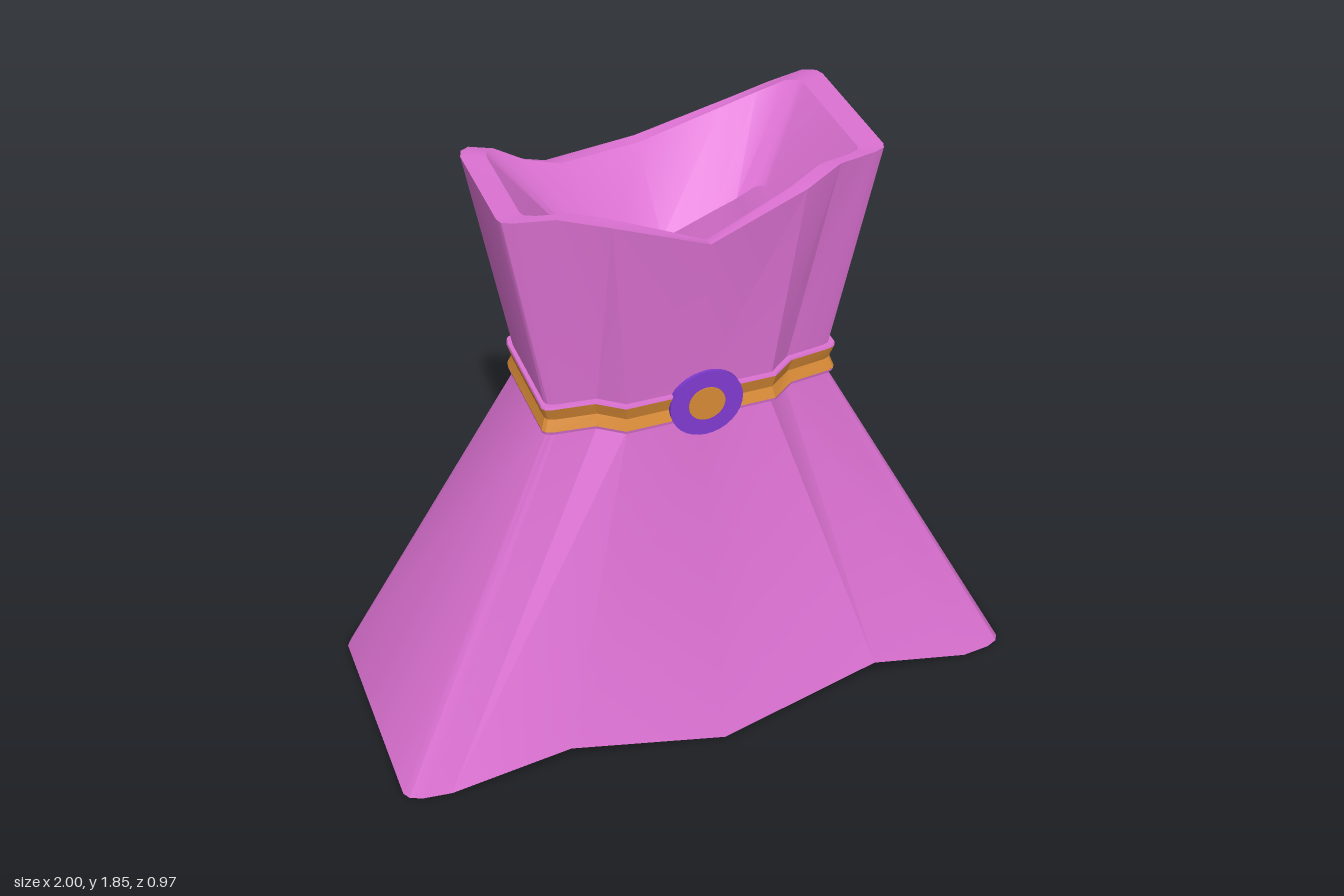
import * as THREE from 'three';
import { toCreasedNormals } from 'three/addons/utils/BufferGeometryUtils.js';

const material = (color) => new THREE.MeshStandardMaterial({ color });
const pink = material(0xdd72d3);
const gold = material(0xd88a36);
const purple = material(0x7f3ad0);

// Skin a list of equal-length closed rings, optionally closing both ends
// with strips that join each front point to the back point opposite
function loft(rings, capped) {
  const pos = [];
  const quad = (a, b, c, d) => [a, b, c, a, c, d].forEach((p) => pos.push(...p));
  const n = rings[0].length;
  for (let i = 0; i < rings.length - 1; i++) {
    for (let j = 0; j < n; j++) {
      const k = (j + 1) % n;
      quad(rings[i][j], rings[i][k], rings[i + 1][k], rings[i + 1][j]);
    }
  }
  if (capped) {
    const first = rings[0], last = rings[rings.length - 1];
    for (let j = 0; j < n / 2 - 1; j++) {
      quad(last[j], last[j + 1], last[n - 2 - j], last[n - 1 - j]);
      quad(first[j + 1], first[j], first[n - 1 - j], first[n - 2 - j]);
    }
  }
  const geo = new THREE.BufferGeometry();
  geo.setAttribute('position', new THREE.Float32BufferAttribute(pos, 3));
  return toCreasedNormals(geo, 0.5);
}

// Cross-sections run along the front from -x to +x, then back behind
const hem = [
  [-1, 0, 0.36], [-0.987, 0, 0.383], [-0.95, 0, 0.4], [-0.86, 0, 0.41], [-0.5, 0.13, 0.48], [0, 0, 0.48],
  [0.5, 0.15, 0.48], [0.86, 0, 0.41], [0.95, 0, 0.4], [0.987, 0, 0.383], [1, 0, 0.36],
  [1, 0, -0.35], [0.987, 0, -0.373], [0.95, 0, -0.388], [0.87, 0, -0.41], [0.5, 0.13, -0.49], [0, 0, -0.49],
  [-0.5, 0.13, -0.31], [-0.86, 0, -0.38], [-0.95, 0, -0.37], [-0.985, 0, -0.355], [-1, 0, -0.33],
];
const waist = [
  [-0.435, 0.14], [-0.428, 0.152], [-0.41, 0.16], [-0.29, 0.175], [-0.22, 0.23], [0, 0.23],
  [0.22, 0.23], [0.29, 0.175], [0.41, 0.16], [0.428, 0.152], [0.435, 0.14],
  [0.435, -0.24], [0.428, -0.258], [0.41, -0.275], [0.34, -0.3], [0.23, -0.3], [0, -0.29],
  [-0.23, -0.19], [-0.34, -0.2], [-0.41, -0.19], [-0.428, -0.175], [-0.435, -0.15],
];
const rim = [
  [-0.56, 1.85, 0.18], [-0.553, 1.85, 0.2], [-0.52, 1.85, 0.215], [-0.41, 1.845, 0.23], [-0.28, 1.835, 0.305],
  [0, 1.72, 0.305],
  [0.28, 1.835, 0.305], [0.41, 1.845, 0.23], [0.52, 1.85, 0.215], [0.553, 1.85, 0.2], [0.56, 1.85, 0.18],
  [0.56, 1.85, -0.24], [0.553, 1.848, -0.27], [0.52, 1.84, -0.3], [0.43, 1.8, -0.335], [0.3, 1.78, -0.32],
  [0, 1.72, -0.31],
  [-0.3, 1.75, -0.22], [-0.42, 1.79, -0.21], [-0.52, 1.84, -0.22], [-0.55, 1.85, -0.19], [-0.56, 1.85, -0.16],
];

const reshape = (ring, sx, dy, sz) => ring.map(([x, y, z]) => [x * sx, y + dy, z * sz]);

// Waist section at height y, grown outward by d
const waistAt = (y, d = 0) =>
  waist.map(([x, z]) => [x * (1 + d / 0.435), y, z + Math.sign(z) * d]);

// Sunken floor inside the neckline, sloping down towards the back
const innerFloor = rim.map(([x, y, z]) => [x * 0.55, y - (z > 0 ? 0.16 : 0.22), z * 0.5 + 0.075]);

export function createModel() {
  const model = new THREE.Group();
  const add = (name, geometry, mat) => {
    const mesh = new THREE.Mesh(geometry, mat);
    mesh.name = name;
    model.add(mesh);
    return mesh;
  };

  // Skirt and bodice: recessed underside, wavy hem, waist, neckline, sunken floor
  add('dress', loft([
    reshape(hem, 0.8, 0.22, 0.7),
    reshape(hem, 0.94, 0.02, 0.89),
    hem,
    waistAt(1.09),
    waistAt(1.19, 0.006),
    rim,
    reshape(rim, 0.875, -0.005, 0.89),
    innerFloor,
  ], true), pink);

  // Grooved belt
  add('belt', loft([
    waistAt(1.1, 0.02), waistAt(1.135, 0.008), waistAt(1.18, 0.02),
  ], false), gold);

  // Pink edging below and above the belt
  add('beltLowerEdge', loft([waistAt(1.085, -0.01), waistAt(1.09, 0.018), waistAt(1.1, 0.02)], false), pink);
  add('beltUpperEdge', loft([waistAt(1.18, 0.02), waistAt(1.187, 0.018), waistAt(1.187, -0.01)], false), pink);

  // Round brooch with a gold centre
  [['brooch', 0.112, 0.022, 0.242, purple], ['broochCentre', 0.056, 0.004, 0.254, gold]]
    .forEach(([name, r, depth, z, mat]) => {
      const disc = add(name, toCreasedNormals(new THREE.CylinderGeometry(r, r, depth, 32), 0.6), mat);
      disc.rotation.x = Math.PI / 2;
      disc.position.set(0.015, 1.14, z);
    });

  return model;
}
